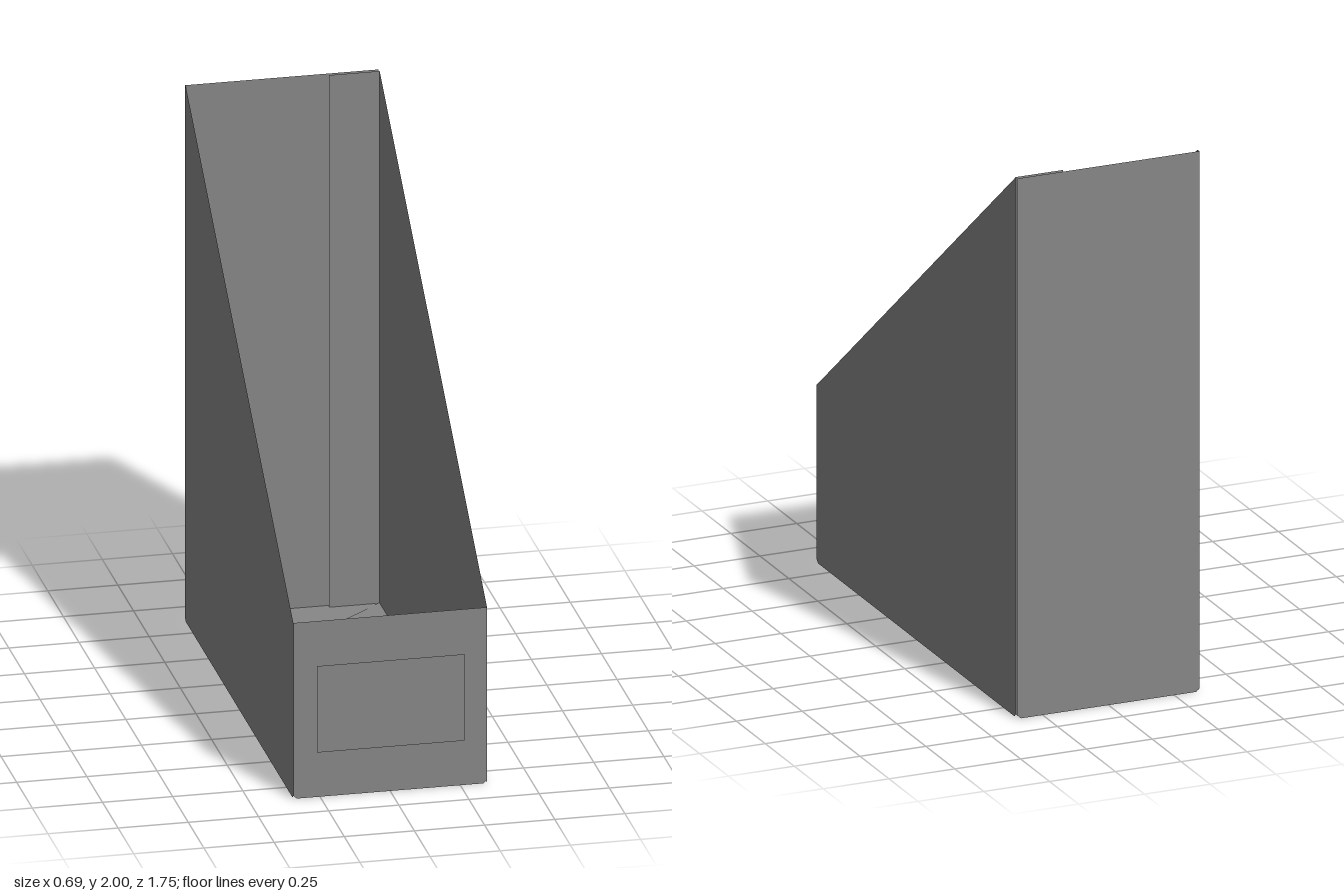
import * as THREE from 'three';

const W = 0.345; // half width
const FRONT = 0.862, BACK = -0.873, INNER = -0.857; // wall planes in z
const FRONT_H = 0.657, H = 2, C = 0.012; // heights and corner relief at the bottom folds
const MID = (FRONT + BACK) / 2, D = (FRONT - BACK) / 2; // floor centre and half depth

const card = new THREE.MeshStandardMaterial({ color: 0x868686, side: THREE.DoubleSide });

// Flat sheet of card cut from an outline
function sheet(name, points) {
  const shape = new THREE.Shape(points.map(([a, b]) => new THREE.Vector2(a, b)));
  const mesh = new THREE.Mesh(new THREE.ShapeGeometry(shape), card);
  mesh.name = name;
  return mesh;
}

// Upright sheet facing z, with small reliefs at its lower corners
function upright(name, x0, x1, y1, z) {
  const mesh = sheet(name, [[x0 + C, 0], [x1 - C, 0], [x1, C], [x1, y1], [x0, y1], [x0, C]]);
  mesh.position.z = z;
  return mesh;
}

// Side wall, outline drawn in (z, y)
function sideWall(name, x, back) {
  const mesh = sheet(name, [
    [FRONT - C, 0], [FRONT, C], [FRONT, FRONT_H], [INNER, H], [back, H], [back, C], [back + C, 0],
  ]);
  mesh.geometry.rotateY(-Math.PI / 2);
  mesh.position.x = x;
  return mesh;
}

// Bottom sheet, outline drawn in (x, z)
function floorSheet(name, points) {
  const mesh = sheet(name, points);
  mesh.geometry.rotateX(Math.PI / 2);
  mesh.position.y = C;
  return mesh;
}

// Half of an end flap, hinged on the end wall so its free edge moves by rise
function endFlapHalf(name, side, rise) {
  const mesh = floorSheet(name, [
    [0, 0], [side * (W - C), 0], [side * 0.31, 0.13], [side * 0.262, 0.343], [0, 0.343],
  ]);
  mesh.position.z = -D;
  mesh.rotation.x = -Math.atan2(rise, 0.343);
  return mesh;
}

export function createModel() {
  const model = new THREE.Group();
  model.name = 'magazineFile';

  // Walls
  model.add(
    upright('frontPanel', -W, W, FRONT_H, FRONT),
    upright('backPanel', -W, W, H, BACK),
    sideWall('leftWall', W, INNER),
    sideWall('rightWall', -W, BACK),
  );

  // Glue flap folded inside the back from the left wall
  model.add(upright('glueFlap', 0.165, W, H, INNER));

  // Label standing just off the front
  const label = sheet('label', [[-0.263, 0.17], [0.263, 0.17], [0.263, 0.493], [-0.263, 0.493]]);
  label.position.z = FRONT + 0.011;
  model.add(label);

  // Woven bottom: each end flap passes over one side flap and under the other
  for (const [side, end, turn] of [['right', 'back', 0], ['left', 'front', Math.PI]]) {
    const pair = new THREE.Group();
    pair.name = `${side}BottomFlaps`;
    pair.add(
      floorSheet(`${side}FloorFlap`, [
        [-W, -D + C], [-0.003, -0.56], [-0.003, 0.56], [-W, D - C],
      ]),
      endFlapHalf(`${end}FloorFlapOver`, -1, 0.02),
      endFlapHalf(`${end}FloorFlapUnder`, 1, -C),
    );
    pair.rotation.y = turn;
    pair.position.z = MID;
    model.add(pair);
  }
  return model;
}
